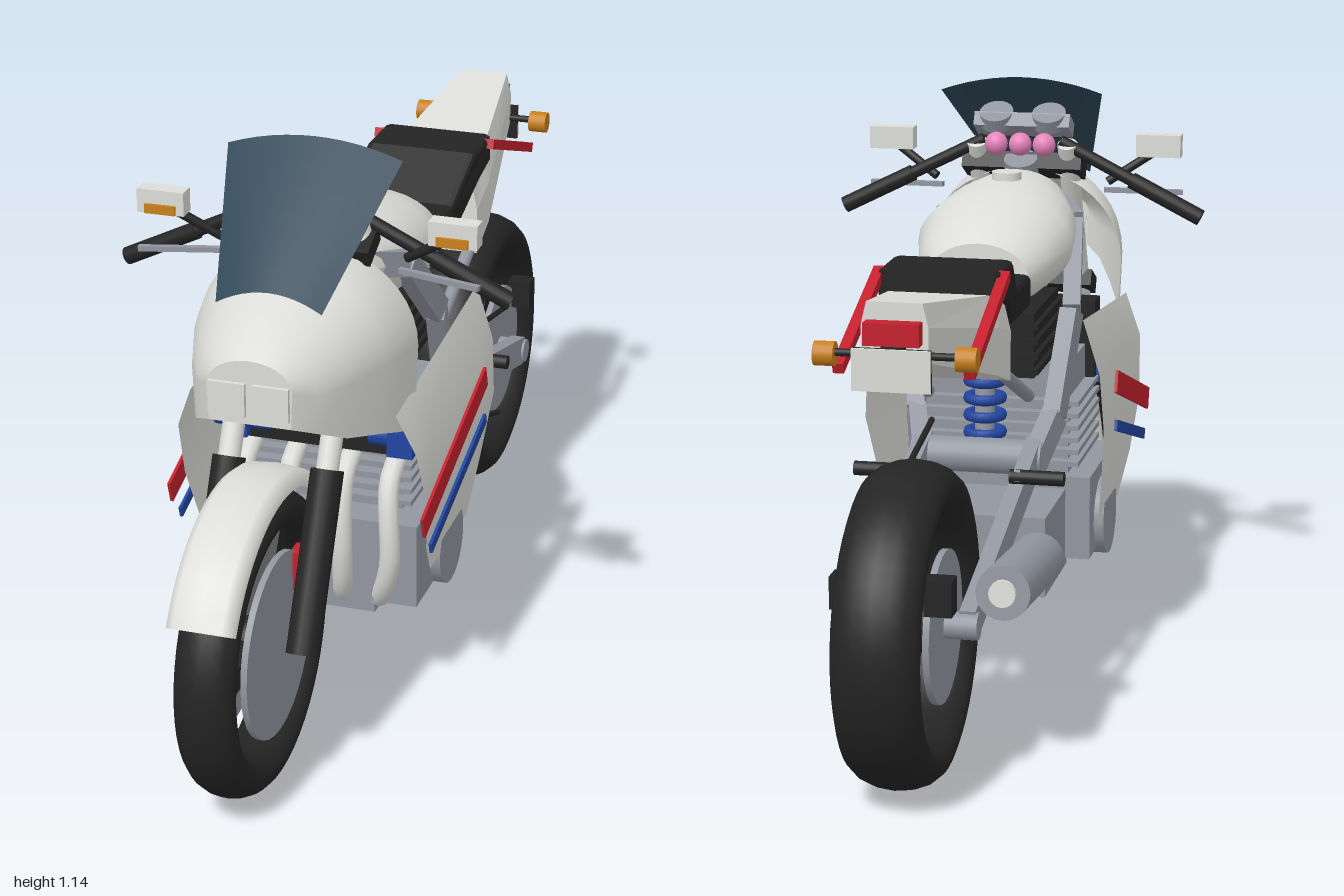
import * as THREE from 'three';

const mat = (name, color, side = THREE.FrontSide) =>
  Object.assign(new THREE.MeshStandardMaterial({ color, side }), { name });
const V = (x, y, z) => new THREE.Vector3(x, y, z);
const lerp = THREE.MathUtils.lerp;

// Surface through rows of points; caps close the ends, wrap closes each row
function loft(rows, { wrap = false, caps = false, flat = false } = {}) {
  rows = rows.map(r => (wrap ? [...r, r[0]] : r));
  if (caps) {
    const mid = r => { const c = V(0, 0, 0); r.slice(1).forEach(p => c.add(p)); return r.map(() => c.clone().divideScalar(r.length - 1)); };
    const a = rows[0], b = rows[rows.length - 1];
    rows = [mid(a), a, ...(flat ? [] : [a]), ...rows.slice(1), ...(flat ? [] : [b]), mid(b)];
    if (!flat) rows.splice(1, 1, a.map(p => p.clone()));
  }
  const n = rows[0].length, index = [];
  for (let i = 0; i < rows.length - 1; i++) {
    for (let j = 0; j < n - 1; j++) {
      const a = i * n + j, b = a + n;
      index.push(a, b, a + 1, a + 1, b, b + 1);
    }
  }
  let g = new THREE.BufferGeometry().setFromPoints(rows.flat());
  g.setIndex(index);
  if (flat) g = g.toNonIndexed();
  g.computeVertexNormals();
  return g;
}

export function createModel() {
  const white = mat('white', 0xdcdcd8, THREE.DoubleSide);
  const black = mat('black', 0x242424);
  const grey = mat('grey', 0x9296a0);
  const red = mat('red', 0xc4202c);
  const blue = mat('blue', 0x2145a0);
  const orange = mat('orange', 0xc8801c);
  const glass = mat('glass', 0x2e4656, THREE.DoubleSide);
  const pink = mat('pink', 0xe884bc);
  const model = new THREE.Group();
  model.name = 'motorcycle';

  const add = (name, geo, material, x = 0, y = 0, z = 0, parent = model) => {
    const m = new THREE.Mesh(geo, material);
    m.name = name;
    m.position.set(x, y, z);
    parent.add(m);
    return m;
  };
  const box = (name, material, w, h, d, x, y, z, parent) =>
    add(name, new THREE.BoxGeometry(w, h, d), material, x, y, z, parent);
  const rod = (name, material, a, b, r, r2 = r, seg = 16) => {
    const c = a.clone().add(b).multiplyScalar(0.5);
    const m = add(name, new THREE.CylinderGeometry(r2, r, a.distanceTo(b), seg), material, c.x, c.y, c.z);
    m.quaternion.setFromUnitVectors(V(0, 1, 0), b.clone().sub(a).normalize());
    return m;
  };
  const bar = (name, material, a, b, w, h) => {
    const c = a.clone().add(b).multiplyScalar(0.5);
    const m = box(name, material, w, h, a.distanceTo(b), c.x, c.y, c.z);
    m.lookAt(b);
    return m;
  };
  const tube = (name, material, pts, r) =>
    add(name, new THREE.TubeGeometry(new THREE.CatmullRomCurve3(pts), 32, r, 10), material);
  const axleCylinder = (r, w, seg = 32) => new THREE.CylinderGeometry(r, r, w, seg).rotateZ(Math.PI / 2);

  // Wheels
  const wheel = (name, z, R, half, thick, discR) => {
    const g = new THREE.Group();
    g.name = name;
    g.position.set(0, R, z);
    model.add(g);
    add('tyre', new THREE.TorusGeometry(R - thick, thick, 16, 48).scale(1, 1, half / thick).rotateY(Math.PI / 2), black, 0, 0, 0, g);
    add('hub', axleCylinder(0.05, half * 1.7), black, 0, 0, 0, g);
    for (const a of [180, 60, -60]) {
      const t = a * Math.PI / 180, s = box('spoke', black, 0.05, 0.045, R - thick, 0, 0, 0, g);
      s.position.set(0, Math.sin(t) * (R - thick) / 2, -Math.cos(t) * (R - thick) / 2);
      s.rotation.x = t;
    }
    for (const s of [-1, 1]) add('brakeDisc', axleCylinder(discR, 0.012), grey, s * half * 0.8, 0, 0, g);
  };
  wheel('frontWheel', 0.713, 0.288, 0.057, 0.041, 0.175);
  wheel('rearWheel', -0.703, 0.297, 0.08, 0.047, 0.14);

  // Front fender
  const fender = [];
  for (let i = 0; i <= 20; i++) {
    const t = THREE.MathUtils.degToRad(lerp(30, 136, i / 20));
    fender.push([[-0.064, 0.295], [-0.06, 0.312], [-0.045, 0.324], [0, 0.328], [0.045, 0.324], [0.06, 0.312], [0.064, 0.295]]
      .map(([x, r]) => V(x, 0.288 + r * Math.sin(t), 0.713 + r * Math.cos(t))));
  }
  add('frontFender', loft(fender), white);

  // Headlight cowl: arched sections from nose to rear edge [z, half width, bottom, shoulder, top]
  const cowl = [[0.71, 0.08, 0.72, 0.79, 0.842], [0.67, 0.115, 0.7, 0.77, 0.87], [0.6, 0.15, 0.665, 0.77, 0.9],
    [0.5, 0.185, 0.635, 0.77, 0.94], [0.43, 0.2, 0.61, 0.765, 0.963], [0.37, 0.207, 0.6, 0.76, 0.945]]
    .map(([z, w, yb, ym, yt]) => {
      const row = [V(-w * 0.97, yb, z)];
      for (let i = 0; i <= 20; i++) {
        const t = Math.PI * (1 - i / 20);
        row.push(V(w * Math.cos(t), ym + (yt - ym) * Math.sin(t), z));
      }
      return [...row, V(w * 0.97, yb, z)];
    });
  add('cowl', loft(cowl), white);
  add('cowlNose', new THREE.ShapeGeometry(new THREE.Shape(cowl[0].map(p => new THREE.Vector2(p.x, p.y)))), white, 0, 0, 0.71);
  for (const s of [-1, 1]) box('headlight', white, 0.069, 0.064, 0.009, s * 0.041, 0.767, 0.714);

  // Windscreen
  const screen = [];
  for (let j = 0; j <= 6; j++) {
    const v = j / 6, row = [];
    for (let i = 0; i <= 12; i++) {
      const u = i / 6 - 1;
      row.push(V(u * lerp(0.1, 0.168, v), lerp(0.93, 1.137, v) - 0.03 * u * u, lerp(0.605, 0.345, v)));
    }
    screen.push(row);
  }
  add('windscreen', loft(screen), glass);

  // Fuel tank: oval sections [z, half width, bottom, top]
  const tank = [[0.35, 0.06, 0.85, 0.935], [0.31, 0.105, 0.8, 0.952], [0.2, 0.143, 0.757, 0.955], [0.08, 0.157, 0.738, 0.945],
    [-0.03, 0.13, 0.733, 0.905], [-0.085, 0.1, 0.735, 0.872]].map(([z, w, yb, yt]) =>
    Array.from({ length: 28 }, (_, i) => {
      const t = i / 28 * Math.PI * 2;
      return V(w * Math.cos(t), (yb + yt) / 2 + (yt - yb) / 2 * Math.sin(t), z);
    }));
  add('fuelTank', loft(tank, { wrap: true, caps: true }), white);
  add('fillerCap', new THREE.CylinderGeometry(0.03, 0.03, 0.02, 24), white, 0, 0.957, 0.195);

  // Seat
  const seatPts = [[-0.08, 0.805], [-0.21, 0.805], [-0.32, 0.88], [-0.43, 0.88], [-0.43, 0.84], [-0.35, 0.825], [-0.24, 0.76], [-0.08, 0.76]];
  const seat = new THREE.ExtrudeGeometry(new THREE.Shape(seatPts.map(p => new THREE.Vector2(...p))),
    { depth: 0.18, bevelSize: 0.01, bevelThickness: 0.012, bevelSegments: 2 }).translate(0, 0, -0.09).rotateY(-Math.PI / 2);
  const sp = seat.attributes.position;
  for (let i = 0; i < sp.count; i++) if (sp.getZ(i) < -0.28) sp.setX(i, sp.getX(i) * 1.13);
  seat.computeVertexNormals();
  add('seat', seat, black);

  // Tail [z, top half width, bottom half width, bottom, top]
  const tail = [[-0.34, 0.1, 0.115, 0.665, 0.825], [-0.44, 0.095, 0.112, 0.698, 0.848], [-0.79, 0.05, 0.06, 0.8, 0.905]]
    .map(([z, a, b, yb, yt]) => [V(-b, yb, z), V(-b, lerp(yb, yt, 0.6), z), V(-a, yt, z), V(a, yt, z), V(b, lerp(yb, yt, 0.6), z), V(b, yb, z)]);
  add('tail', loft(tail, { wrap: true, caps: true, flat: true }), white);
  box('tailLight', red, 0.1, 0.04, 0.03, 0, 0.853, -0.805);
  box('plateBracket', black, 0.04, 0.05, 0.02, 0, 0.81, -0.8);
  box('numberPlateBack', black, 0.14, 0.075, 0.006, 0, 0.79, -0.812);
  box('numberPlate', white, 0.14, 0.075, 0.006, 0, 0.79, -0.818);

  // Engine, intake and shock
  box('crankcase', grey, 0.4, 0.17, 0.3, 0, 0.29, 0.2);
  box('gearbox', grey, 0.3, 0.16, 0.24, 0, 0.27, -0.05);
  box('oilPan', grey, 0.22, 0.04, 0.38, 0, 0.19, 0.14);
  box('cylinders', grey, 0.3, 0.24, 0.2, 0, 0.48, 0.18);
  for (let i = 0; i < 6; i++) box('coolingFin', grey, 0.35, 0.01, 0.25, 0, 0.4 + i * 0.025, 0.18);
  box('radiator', black, 0.34, 0.18, 0.06, 0, 0.6, 0.3);
  box('airBox', black, 0.2, 0.13, 0.26, 0, 0.66, 0.1);
  for (let i = 0; i < 4; i++) box('airBoxRib', black, 0.22, 0.012, 0.28, 0, 0.61 + i * 0.03, 0.1);
  rod('shock', grey, V(0, 0.4, -0.03), V(0, 0.76, -0.01), 0.02);
  for (let i = 0; i < 6; i++) add('spring', new THREE.TorusGeometry(0.033, 0.011, 8, 20).rotateX(Math.PI / 2), blue, 0, 0.48 + i * 0.035, -0.02);

  // Exhaust
  for (const x of [-0.145, -0.055, 0.055, 0.145])
    tube('exhaustHeader', white, [V(x, 0.5, 0.27), V(x, 0.46, 0.35), V(x * 1.05, 0.3, 0.37), V(x * 0.8, 0.2, 0.32), V(x * 0.4 - 0.03, 0.18, 0.1), V(-0.09, 0.2, -0.1)], 0.02);
  tube('exhaustPipe', white, [V(-0.07, 0.19, 0), V(-0.1, 0.22, -0.15), V(-0.15, 0.3, -0.32), V(-0.17, 0.33, -0.4)], 0.03);
  rod('muffler', grey, V(-0.17, 0.325, -0.35), V(-0.17, 0.36, -0.685), 0.05, 0.05, 24);
  rod('mufflerOutlet', white, V(-0.17, 0.359, -0.67), V(-0.17, 0.361, -0.695), 0.025);

  // Instruments and steering head
  box('instrumentPanel', grey, 0.2, 0.03, 0.06, 0, 1.035, 0.375).rotation.x = 0.5;
  for (const x of [-0.055, 0.055]) add('dial', new THREE.CylinderGeometry(0.035, 0.035, 0.03, 24), grey, x, 1.05, 0.367).rotation.x = -0.5;
  for (const x of [-0.05, 0, 0.05]) add('warningLamp', new THREE.SphereGeometry(0.024, 16, 12), pink, x, 1.0, 0.335);
  for (const [y, z] of [[0.95, 0.38], [0.68, 0.515]]) box('forkClamp', black, 0.25, 0.035, 0.07, 0, y, z).rotation.x = 0.45;
  rod('steeringHead', grey, V(0, 0.68, 0.47), V(0, 0.97, 0.34), 0.035);

  for (const s of [-1, 1]) {
    // Fork
    rod('forkLower', black, V(s * 0.095, 0.275, 0.712), V(s * 0.095, 0.58, 0.565), 0.031);
    rod('forkUpper', white, V(s * 0.095, 0.57, 0.57), V(s * 0.095, 1.0, 0.355), 0.021);
    box('frontCaliper', red, 0.035, 0.075, 0.045, s * 0.062, 0.4, 0.615);
    // Handlebar, lever and mirror
    rod('handlebar', black, V(s * 0.08, 1.005, 0.36), V(s * 0.24, 0.925, 0.352), 0.013);
    rod('grip', black, V(s * 0.23, 0.93, 0.352), V(s * 0.375, 0.858, 0.345), 0.017);
    bar('lever', grey, V(s * 0.17, 0.905, 0.37), V(s * 0.33, 0.9, 0.4), 0.012, 0.01);
    rod('mirrorArm', black, V(s * 0.18, 0.925, 0.355), V(s * 0.265, 0.98, 0.385), 0.009);
    box('mirror', white, 0.092, 0.046, 0.035, s * 0.281, 0.998, 0.39);
    box('mirrorIndicator', orange, 0.06, 0.018, 0.012, s * 0.281, 0.985, 0.407);
    // Side fairing: front and back edges [front z, front y, back z, back y, x]
    const rows = [[0.485, 0.665, -0.045, 0.72, 0.2], [0.465, 0.58, -0.045, 0.61, 0.234], [0.42, 0.46, -0.035, 0.5, 0.241],
      [0.38, 0.35, 0.02, 0.37, 0.228], [0.31, 0.27, 0.06, 0.27, 0.215]]
      .map(([fz, fy, bz, by, x]) => Array.from({ length: 7 }, (_, i) =>
        V(s * x, lerp(fy, by, i / 6), lerp(fz, bz, i / 6))));
    add('sideFairing', loft(rows), white);
    bar('redStripe', red, V(s * 0.25, 0.44, 0.475), V(s * 0.25, 0.575, 0.06), 0.006, 0.045);
    bar('blueStripe', blue, V(s * 0.25, 0.375, 0.425), V(s * 0.25, 0.485, 0.06), 0.006, 0.022);
    add('engineCover', axleCylinder(0.08, 0.03), grey, s * 0.205, 0.265, 0.18);
    rod('coolantHose', blue, V(s * 0.1, 0.55, 0.32), V(s * 0.21, 0.55, 0.32), 0.025);
    box('coolantFitting', blue, 0.05, 0.07, 0.06, s * 0.165, 0.55, 0.32);
    // Frame, swingarm and footpeg
    const frame = [V(s * 0.04, 0.9, 0.36), V(s * 0.135, 0.86, 0.22), V(s * 0.155, 0.71, 0.08), V(s * 0.14, 0.52, -0.02), V(s * 0.11, 0.43, -0.11)];
    for (let i = 0; i < 4; i++) bar('frameBeam', grey, frame[i], frame[i + 1], 0.035, 0.05);
    bar('swingarm', grey, V(s * 0.11, 0.46, -0.07), V(s * 0.11, 0.3, -0.7), 0.03, 0.06);
    rod('subframeStrut', grey, V(s * 0.1, 0.575, -0.09), V(s * 0.1, 0.685, -0.36), 0.013);
    rod('footpeg', black, V(s * 0.1, 0.46, -0.27), V(s * 0.205, 0.46, -0.27), 0.014);
    bar('footpegBracket', grey, V(s * 0.115, 0.42, -0.13), V(s * 0.115, 0.465, -0.28), 0.012, 0.022);
    // Tail trim and rear indicators
    bar('grabRail', red, V(s * 0.118, 0.88, -0.41), V(s * 0.118, 0.767, -0.725), 0.02, 0.02);
    rod('indicatorStem', black, V(s * 0.05, 0.81, -0.78), V(s * 0.12, 0.81, -0.78), 0.007);
    rod('rearIndicator', orange, V(s * 0.108, 0.807, -0.78), V(s * 0.145, 0.807, -0.78), 0.022);
  }
  rod('swingarmPivot', grey, V(-0.13, 0.45, -0.09), V(0.13, 0.45, -0.09), 0.035);
  rod('rearAxle', grey, V(-0.13, 0.3, -0.7), V(0.13, 0.3, -0.7), 0.025);
  box('rearCaliper', black, 0.05, 0.065, 0.045, -0.085, 0.39, -0.815);
  box('chainGuard', black, 0.05, 0.06, 0.045, 0.085, 0.39, -0.815);

  // Chain
  rod('chainUpper', black, V(0.09, 0.52, -0.1), V(0.09, 0.41, -0.68), 0.006, 0.006, 6);
  rod('chainLower', black, V(0.09, 0.39, 0), V(0.09, 0.18, -0.62), 0.006, 0.006, 6);
  return model;
}
